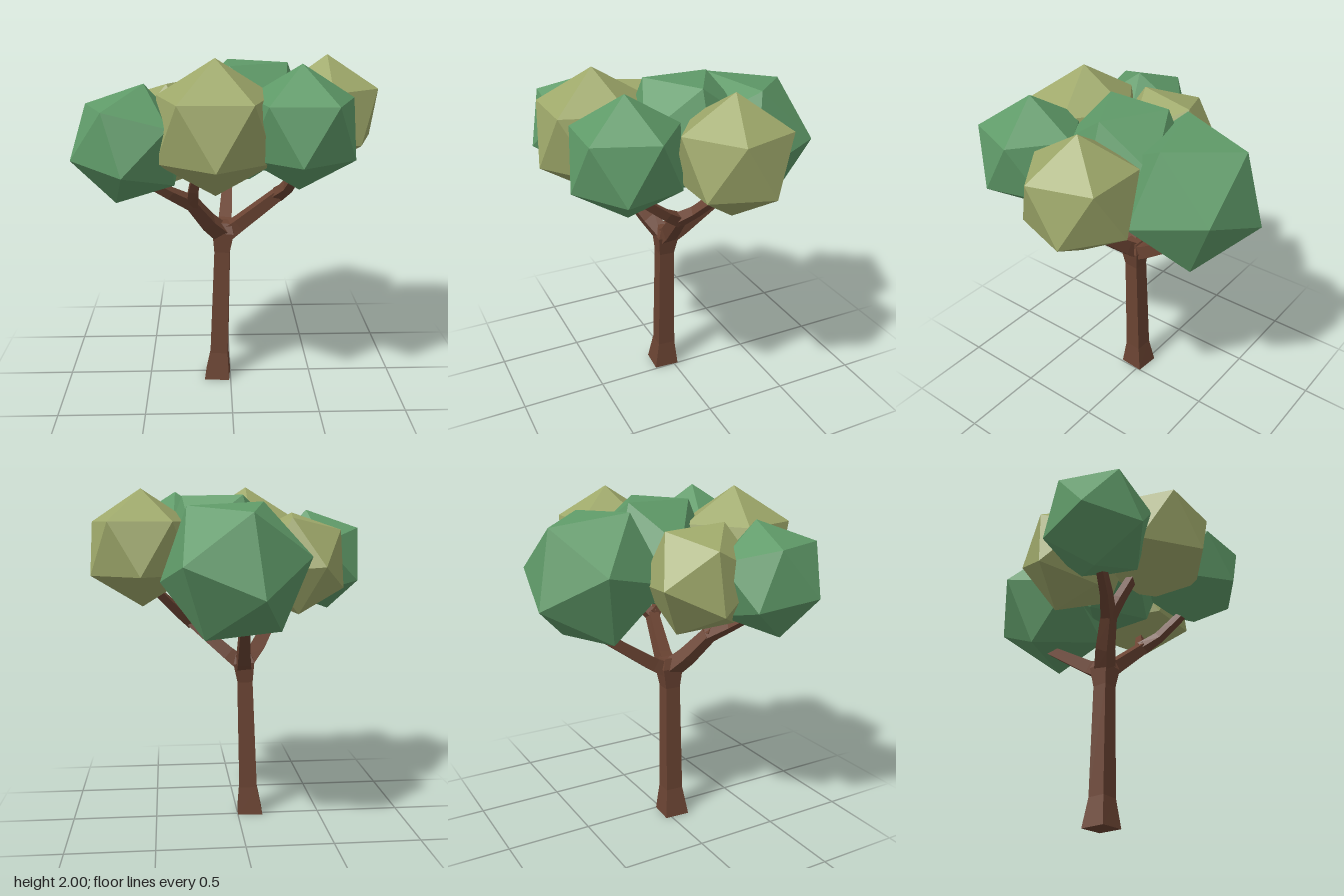
import * as THREE from 'three';

const mat = (color) => new THREE.MeshStandardMaterial({ color, flatShading: true });
const V = (a) => new THREE.Vector3(...a);

// Foliage ball: icosahedron with one vertex along vertexDir and a neighbouring one towards sideDir
function blob(name, material, centre, radius, vertexDir, sideDir) {
  const geo = new THREE.IcosahedronGeometry(radius, 0);
  geo.rotateZ(Math.atan(2 / (1 + Math.sqrt(5)))); // vertex to +y, neighbour towards -x
  const y = V(vertexDir).normalize();
  const x = V(sideDir).addScaledVector(y, -V(sideDir).dot(y)).normalize().negate();
  const z = new THREE.Vector3().crossVectors(x, y);
  geo.applyMatrix4(new THREE.Matrix4().makeBasis(x, y, z));
  geo.translate(...centre);
  const mesh = new THREE.Mesh(geo, material);
  mesh.name = name;
  return mesh;
}

// Four-sided tapering limb through points [x, y, z, cornerRadius]
function limb(name, material, pts, twist = 0) {
  const n = 4, pos = [], idx = [];
  const p = pts.map((q) => V(q.slice(0, 3)));
  const up = new THREE.Vector3(0, 1, 0);
  p.forEach((c, i) => {
    const t = p[Math.min(i + 1, p.length - 1)].clone().sub(p[Math.max(i - 1, 0)]).normalize();
    if (i === 0 && c.y === 0) t.copy(up); // flat on the ground
    const q = new THREE.Quaternion().setFromUnitVectors(up, t);
    for (let k = 0; k < n; k++) {
      const a = twist + Math.PI / 4 + (k * 2 * Math.PI) / n;
      const v = new THREE.Vector3(Math.cos(a), 0, Math.sin(a)).multiplyScalar(pts[i][3]);
      pos.push(...v.applyQuaternion(q).add(c).toArray());
    }
  });
  for (let i = 0; i < p.length - 1; i++) {
    for (let k = 0; k < n; k++) {
      const a = i * n + k, b = i * n + ((k + 1) % n);
      idx.push(a, a + n, b, b, a + n, b + n);
    }
  }
  // End caps
  const e = (p.length - 1) * n;
  idx.push(0, 1, 2, 0, 2, 3, e, e + 2, e + 1, e, e + 3, e + 2);
  const geo = new THREE.BufferGeometry();
  geo.setAttribute('position', new THREE.Float32BufferAttribute(pos, 3));
  geo.setIndex(idx);
  geo.computeVertexNormals();
  const mesh = new THREE.Mesh(geo, material);
  mesh.name = name;
  return mesh;
}

export function createModel() {
  const tree = new THREE.Group();
  tree.name = 'tree';
  const bark = mat(0x6b4433), green = mat(0x5f9a68), olive = mat(0x9ea86a);

  // Trunk with flared foot
  const wood = new THREE.Group();
  wood.name = 'wood';
  wood.add(limb('trunk', bark, [
    [-0.08, 0, 0.045, 0.107], [-0.068, 0.17, 0.042, 0.075],
    [-0.048, 0.83, 0.043, 0.064], [-0.04, 0.95, 0.04, 0.088], [-0.035, 1.01, 0.04, 0.06],
  ], 0.07));

  // Main branches and their forks
  const fork = [-0.04, 0.93, 0.04, 0.065];
  const leftNode = [-0.22, 1.17, 0.2, 0.048], rightNode = [0.27, 1.19, 0.1, 0.045];
  wood.add(
    limb('rightBranch', bark, [fork, [-0.13, 1.03, 0.11, 0.058], leftNode]),
    limb('rightTwigOuter', bark, [leftNode, [-0.34, 1.25, 0.27, 0.038], [-0.5, 1.36, 0.34, 0.03]]),
    limb('rightTwigFront', bark, [leftNode, [-0.21, 1.27, 0.27, 0.038], [-0.17, 1.46, 0.38, 0.03]]),
    limb('leftBranch', bark, [fork, [0.05, 1.0, 0.05, 0.055], rightNode]),
    limb('leftTwigFront', bark, [rightNode, [0.32, 1.26, 0.2, 0.036], [0.36, 1.42, 0.4, 0.03]]),
    limb('leftTwigBack', bark, [rightNode, [0.35, 1.26, 0.04, 0.036], [0.5, 1.42, -0.06, 0.03]]),
    limb('backBranch', bark, [fork, [-0.03, 0.98, -0.06, 0.055], [0.0, 1.22, -0.42, 0.038], [0.02, 1.32, -0.5, 0.03]]),
  );

  // Foliage
  const crown = new THREE.Group();
  crown.name = 'crown';
  const up = [0, 1, 0];
  crown.add(
    blob('frontFoliage', olive, [-0.09, 1.64, 0.44], 0.36, up, [0, 0, -1]),
    blob('leftFrontFoliage', green, [0.355, 1.64, 0.435], 0.33, up, [0.966, 0, -0.259]),
    blob('leftFoliage', olive, [0.555, 1.636, -0.07], 0.333, up, [0, 0, 1]),
    blob('centreFoliage', green, [0.1, 1.64, -0.01], 0.366, [0.222, 0.29, 0], [-0.111, 0.29, 0.192]),
    blob('backFoliage', green, [0.05, 1.53, -0.388], 0.424, [-0.17, 0.363, 0.137], [-0.07, 0.3, -0.285]),
    blob('rightBackFoliage', olive, [-0.35, 1.545, 0.055], 0.33, [0, 0.3, 0.15], [-0.23, 0.2, -0.035]),
    blob('rightFrontFoliage', green, [-0.542, 1.546, 0.364], 0.325, [0.08, 0.311, -0.034], [-0.113, 0.209, 0.221]),
  );

  tree.add(wood, crown);
  return tree;
}
